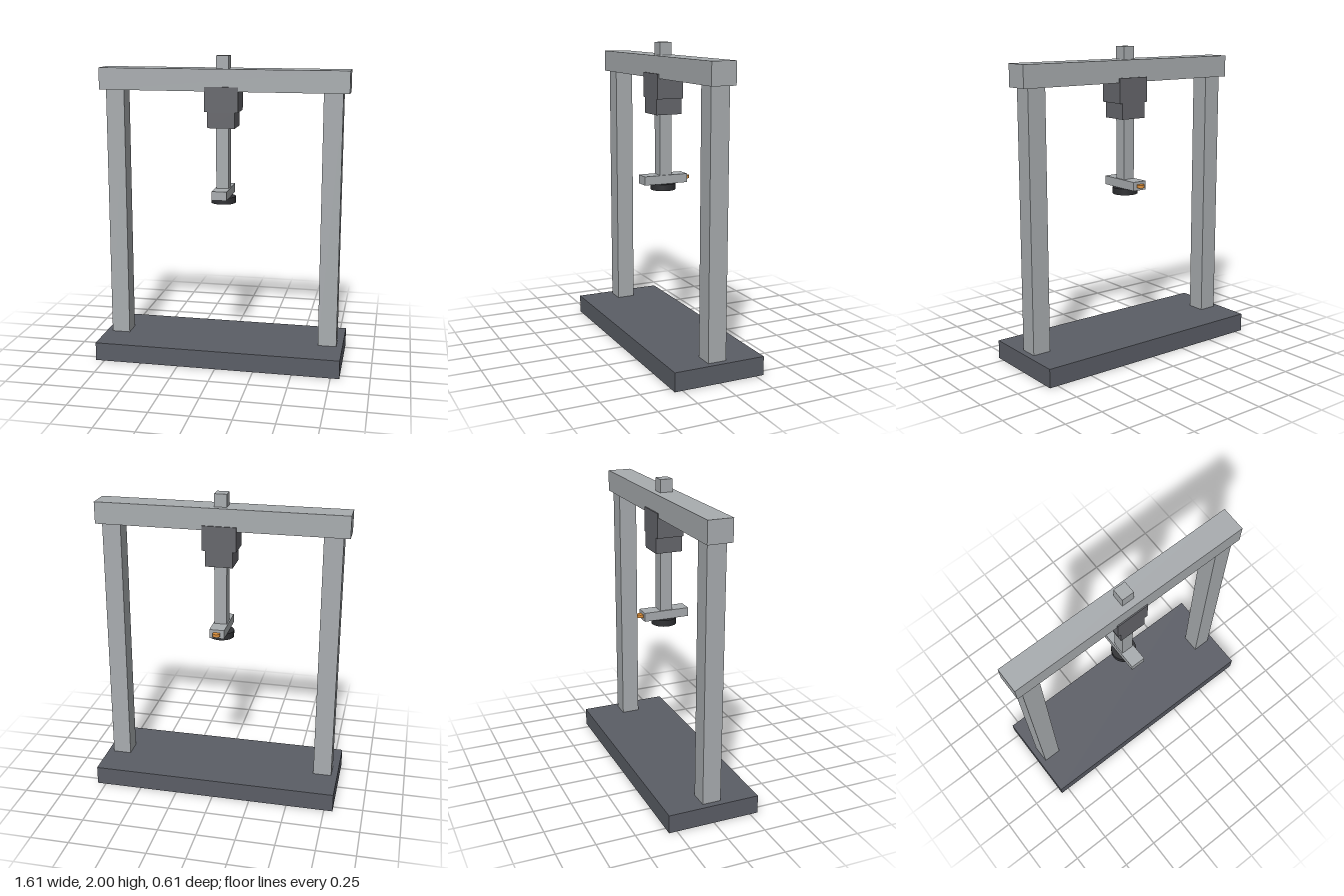
import * as THREE from 'three';

const material = (color) => new THREE.MeshStandardMaterial({ color });

export function createModel() {
  const model = new THREE.Group();
  const steel = material(0xa9adb0);
  const baseGrey = material(0x5b5e66);
  const housingGrey = material(0x66676c);
  const rubber = material(0x2f3033);
  const orange = material(0xe0913a);

  const add = (name, geometry, mat, x, y, z) => {
    const mesh = new THREE.Mesh(geometry, mat);
    mesh.name = name;
    mesh.position.set(x, y, z);
    model.add(mesh);
  };
  // Box given by its width, depth and vertical extent
  const box = (name, mat, w, d, y0, y1, x = 0, z = 0) =>
    add(name, new THREE.BoxGeometry(w, y1 - y0, d), mat, x, (y0 + y1) / 2, z);
  // Upright disc given by its radius and vertical extent
  const disc = (name, mat, r, y0, y1, z = 0) =>
    add(name, new THREE.CylinderGeometry(r, r, y1 - y0, 32), mat, 0, (y0 + y1) / 2, z);

  // Portal frame
  box('base', baseGrey, 1.614, 0.605, 0, 0.121);
  for (const side of [-1, 1]) {
    box(side > 0 ? 'leftColumn' : 'rightColumn', steel, 0.121, 0.121, 0.121, 1.777, side * 0.706);
  }
  box('crossBeam', steel, 1.614, 0.161, 1.777, 1.918);

  // Stepped guide housing under the beam
  box('upperHousing', housingGrey, 0.218, 0.177, 1.647, 1.806);
  box('lowerHousing', housingGrey, 0.177, 0.177, 1.545, 1.647);

  // Sliding ram with its tool head
  box('ram', steel, 0.081, 0.081, 1.12, 2);
  box('toolBar', steel, 0.097, 0.303, 1.09, 1.147);
  disc('pressPad', rubber, 0.081, 1.048, 1.09);
  disc('indicator', orange, 0.024, 1.109, 1.129, -0.163);

  return model;
}
